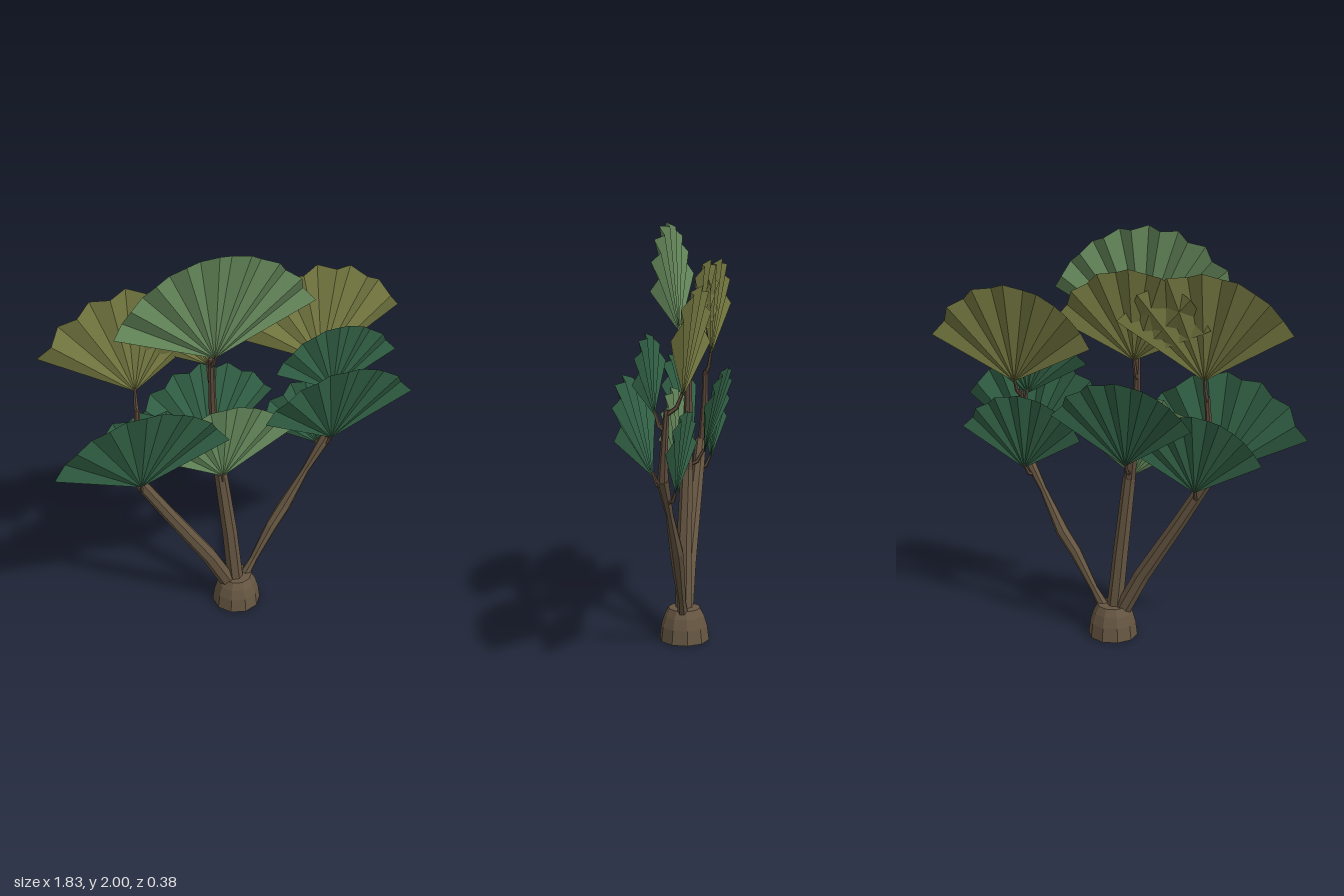
import * as THREE from 'three';

const flat = (name, color, side = THREE.FrontSide) => {
  const m = new THREE.MeshStandardMaterial({ color, flatShading: true, side });
  m.name = name;
  return m;
};

// Pleated fan leaf: alternating ridges and valleys around a base point
function fanGeometry(radius, halfAngle, lean, outward, folds) {
  const rim = [];
  for (let i = 0; i <= folds; i++) {
    const a = THREE.MathUtils.degToRad(halfAngle) * (2 * i / folds - 1);
    const ridge = i % 2 === 0;
    const r = radius * (ridge ? 1 : 0.965);
    const y = r * Math.cos(a);
    const pleat = outward * radius * (ridge ? 0.035 : -0.035);
    rim.push([r * Math.sin(a), y, lean * y / radius + pleat]);
  }
  const pos = [];
  for (let i = 0; i < folds; i++) pos.push(0, 0, 0, ...rim[i + 1], ...rim[i]);
  const g = new THREE.BufferGeometry();
  g.setAttribute('position', new THREE.Float32BufferAttribute(pos, 3));
  g.computeVertexNormals();
  return g;
}

// Tapering branch: rings lofted along [x, y, z, radius] stations, closed at both ends
function branchGeometry(stations, sides = 7) {
  const pos = [], index = [];
  const pts = stations.map(s => new THREE.Vector3(s[0], s[1], s[2]));
  const n = pts.length;
  pts.forEach((p, i) => {
    const t = pts[Math.min(i + 1, n - 1)].clone().sub(pts[Math.max(i - 1, 0)]).normalize();
    const u = new THREE.Vector3(0, 0, 1).cross(t).normalize();
    const v = t.clone().cross(u);
    for (let k = 0; k < sides; k++) {
      const a = k / sides * Math.PI * 2;
      const q = p.clone().addScaledVector(u, Math.cos(a) * stations[i][3])
        .addScaledVector(v, Math.sin(a) * stations[i][3]);
      pos.push(q.x, q.y, q.z);
    }
  });
  for (let i = 0; i < n - 1; i++) {
    for (let k = 0; k < sides; k++) {
      const a = i * sides + k, b = i * sides + (k + 1) % sides;
      index.push(a, b, b + sides, a, b + sides, a + sides);
    }
  }
  const top = (n - 1) * sides;
  for (let k = 1; k < sides - 1; k++) {
    index.push(0, k + 1, k, top, top + k, top + k + 1);
  }
  const g = new THREE.BufferGeometry();
  g.setAttribute('position', new THREE.Float32BufferAttribute(pos, 3));
  g.setIndex(index);
  g.computeVertexNormals();
  return g;
}

export function createModel() {
  const group = new THREE.Group();
  const bark = flat('bark brown', 0x665642);
  const twig = flat('twig brown', 0x5c4a3b);
  const light = flat('light green', 0x64875a, THREE.DoubleSide);
  const dark = flat('deep green', 0x316045, THREE.DoubleSide);
  const olive = flat('olive green', 0x747840, THREE.DoubleSide);

  const add = (name, geometry, material) => {
    const mesh = new THREE.Mesh(geometry, material);
    mesh.name = name;
    group.add(mesh);
    return mesh;
  };

  // Swollen foot
  const profile = [[0, 0], [0.122, 0], [0.113, 0.07], [0.098, 0.12], [0.078, 0.157], [0, 0.157]]
    .map(([x, y]) => new THREE.Vector2(x, y));
  add('rootBase', new THREE.LatheGeometry(profile, 10), bark).position.z = 0.007;

  // Three trunks
  add('rightTrunk', branchGeometry([
    [-0.03, 0.1, 0.01, 0.042], [-0.15, 0.33, 0.015, 0.04],
    [-0.34, 0.63, 0.015, 0.034], [-0.505, 0.9, 0.015, 0.029]]), bark);
  add('middleTrunk', branchGeometry([
    [-0.005, 0.1, 0.01, 0.042], [-0.04, 0.45, 0.015, 0.038], [-0.085, 0.82, 0.01, 0.032]]), bark);
  add('leftTrunk', branchGeometry([
    [0.04, 0.12, 0.005, 0.03], [0.1, 0.22, 0, 0.02], [0.2, 0.4, -0.005, 0.03],
    [0.27, 0.5, -0.01, 0.032], [0.38, 0.7, 0, 0.018], [0.485, 0.88, 0.01, 0.03]]), bark);

  // Thin upper stems carrying the high leaves
  add('rightStem', branchGeometry([
    [-0.5, 0.87, 0.01, 0.024], [-0.49, 1.1, -0.005, 0.017], [-0.48, 1.26, -0.01, 0.013]]), twig);
  add('middleStem', branchGeometry([
    [-0.085, 0.8, 0.01, 0.03], [-0.12, 1.15, 0.01, 0.02], [-0.125, 1.45, 0.01, 0.014]]), twig);
  add('leftStem', branchGeometry([
    [0.48, 0.86, 0.01, 0.026], [0.49, 1.05, 0, 0.017], [0.49, 1.19, -0.01, 0.013]]), twig);

  // Leaves: name, material, base x y z, radius, half angle, lean in z, folds, stem x y z
  const leaves = [
    ['topLeaf', light, -0.125, 1.48, 0.055, 0.52, 66, 0.05, 16, -0.125, 1.42, 0.01],
    ['rightHighLeaf', olive, -0.475, 1.34, -0.04, 0.485, 60, -0.04, 12, -0.48, 1.24, -0.01],
    ['middleHighLeaf', olive, -0.125, 1.4, -0.035, 0.425, 66, -0.05, 12, -0.123, 1.3, 0.01],
    ['leftHighLeaf', olive, 0.485, 1.25, -0.08, 0.475, 65, -0.07, 12, 0.49, 1.17, -0.01],
    ['leftUpperLeaf', dark, 0.485, 1.165, 0.045, 0.355, 62, 0.03, 12, 0.49, 1.1, 0],
    ['leftFrontLeaf', dark, 0.485, 0.895, 0.055, 0.445, 61, 0.12, 12, 0.47, 0.84, 0.01],
    ['rightFrontLeaf', dark, -0.5, 0.88, 0.055, 0.46, 65, 0.12, 12, -0.485, 0.84, 0.015],
    ['rightBackLeaf', dark, -0.44, 0.81, -0.045, 0.375, 62, -0.04, 12, -0.43, 0.76, 0.015],
    ['middleBackLeaf', dark, -0.1, 0.9, -0.07, 0.42, 58, -0.105, 12, -0.09, 0.84, 0.01],
    ['middleFrontLeaf', light, -0.085, 0.82, 0.045, 0.4, 60, 0.035, 12, -0.08, 0.76, 0.01],
    ['leftBackLeaf', dark, 0.46, 0.81, -0.045, 0.375, 61, -0.04, 12, 0.43, 0.77, 0],
  ];
  for (const [name, mat, x, y, z, r, half, lean, folds, sx, sy, sz] of leaves) {
    add(name, fanGeometry(r, half, lean, Math.sign(lean), folds), mat).position.set(x, y, z);
    // Short curved stalk from trunk to leaf
    add(name + 'Stalk', branchGeometry([
      [sx, sy, sz, 0.012],
      [(sx + x) / 2, (sy + y) / 2 - 0.01, (sz + z) / 2 + (z - sz) * 0.1, 0.01],
      [x, y + 0.02, z, 0.007]], 5), twig);
  }
  return group;
}
